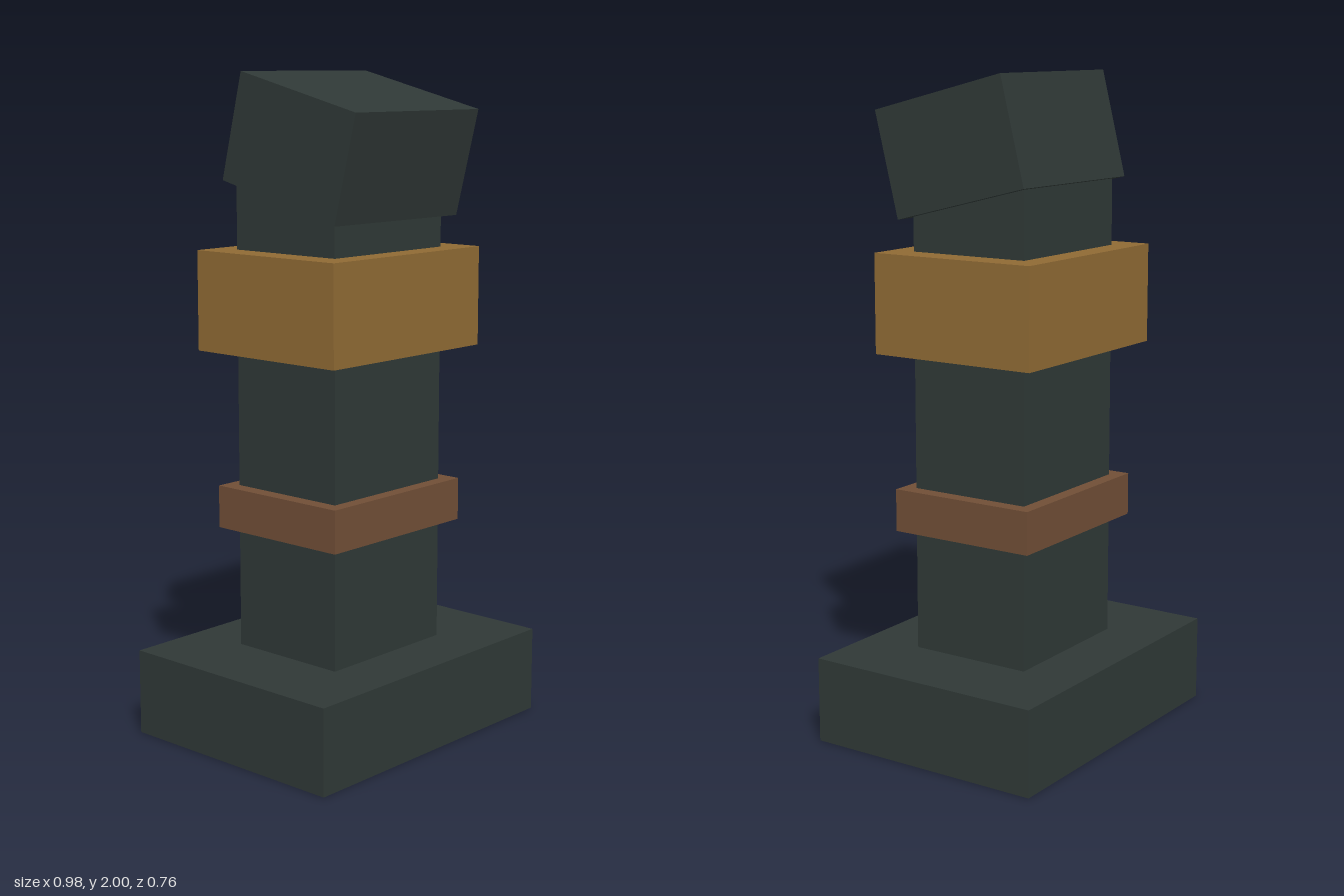
import * as THREE from 'three';

export function createModel() {
  const model = new THREE.Group();
  model.name = 'pillar';

  const material = (name, color) => {
    const m = new THREE.MeshStandardMaterial({ color });
    m.name = name;
    return m;
  };
  const darkSlate = material('dark slate', 0x2f3836);
  const gold = material('old gold', 0x8f6a34);
  const brown = material('leather brown', 0x704e36);

  // Box centred on x = 0, given its width, depth and vertical extent
  function block(name, width, depth, bottom, top, mat, z = 0) {
    const mesh = new THREE.Mesh(new THREE.BoxGeometry(width, top - bottom, depth), mat);
    mesh.name = name;
    mesh.position.set(0, (bottom + top) / 2, z);
    model.add(mesh);
    return mesh;
  }

  block('base', 0.978, 0.762, 0, 0.262, darkSlate);
  // The shaft ends hidden inside the tilted head
  block('shaft', 0.474, 0.39, 0.262, 1.72, darkSlate);
  block('lowerBand', 0.566, 0.474, 0.635, 0.765, brown);
  block('upperCollar', 0.652, 0.544, 1.18, 1.48, gold);

  // Head tips down towards the front
  const head = block('head', 0.544, 0.456, 1.625, 1.95, darkSlate, 0.044);
  head.rotation.x = 0.245;

  return model;
}
